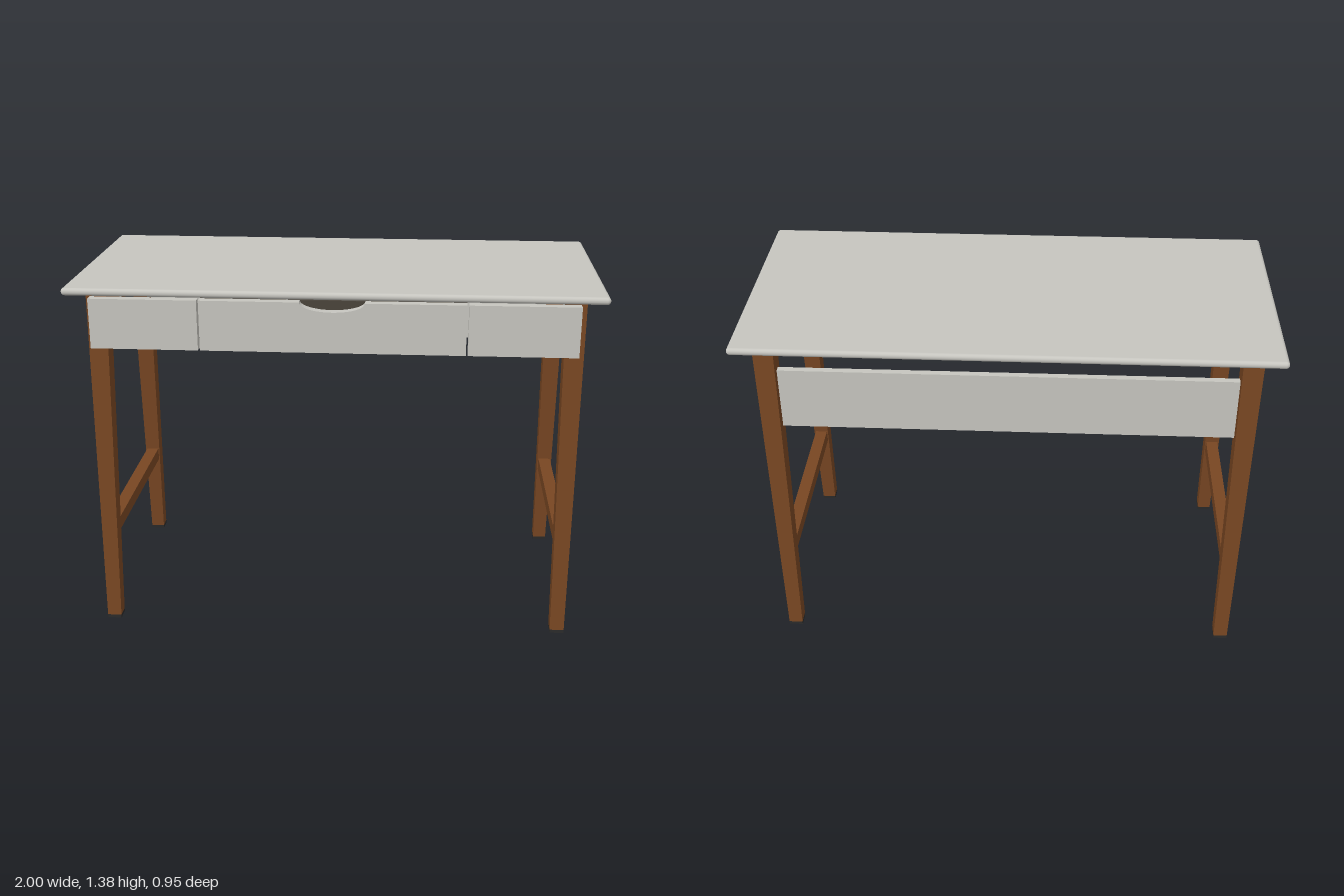
import * as THREE from 'three';
import { RoundedBoxGeometry } from 'three/addons/geometries/RoundedBoxGeometry.js';

const mat = (name, color) => {
  const m = new THREE.MeshStandardMaterial({ color });
  m.name = name;
  return m;
};

export function createModel() {
  const paint = mat('warm grey paint', 0xc6c5bf);
  const wood = mat('walnut wood', 0x784622);
  const liner = mat('dark drawer liner', 0x4a443b);
  const rubber = mat('black foot pad', 0x2a2a2a);

  const desk = new THREE.Group();
  desk.name = 'desk';

  const add = (name, geometry, material, x = 0, y = 0, z = 0) => {
    const mesh = new THREE.Mesh(geometry, material);
    mesh.name = name;
    mesh.position.set(x, y, z);
    desk.add(mesh);
    return mesh;
  };

  // Tabletop with rounded edges
  add('tabletop', new RoundedBoxGeometry(2, 0.028, 0.95, 4, 0.0135), paint, 0, 1.367, 0);

  // Leg centre and half widths at height y: splayed in z, tapering downward
  const LEG_TOP = 1.353;
  const section = (y) => {
    const t = y / LEG_TOP;
    const mix = (a, b) => THREE.MathUtils.lerp(a, b, t);
    return { x: mix(0.8925, 0.889), z: mix(0.4225, 0.357), hx: mix(0.0275, 0.0385), hz: mix(0.0275, 0.039) };
  };
  const legPiece = (y0, y1, sx, sz) => {
    const g = new THREE.BoxGeometry(2, 2, 2);
    const p = g.attributes.position;
    for (let i = 0; i < p.count; i++) {
      const y = p.getY(i) < 0 ? y0 : y1;
      const s = section(y);
      p.setXYZ(i, sx * s.x + p.getX(i) * s.hx, y, sz * s.z + p.getZ(i) * s.hz);
    }
    g.computeVertexNormals();
    return g;
  };

  // Rail between front and back legs, its ends cut to follow the leg slope
  const rail = (y0, y1, width, x) => {
    const g = new THREE.BoxGeometry(width, 2, 2);
    const p = g.attributes.position;
    for (let i = 0; i < p.count; i++) {
      const y = p.getY(i) < 0 ? y0 : y1;
      const s = section(y);
      p.setXYZ(i, x + p.getX(i), y, p.getZ(i) * (s.z - s.hz + 0.002));
    }
    g.computeVertexNormals();
    return g;
  };

  for (const sx of [-1, 1]) {
    const side = sx > 0 ? 'left' : 'right';
    for (const sz of [-1, 1]) {
      const end = sz > 0 ? 'Front' : 'Back';
      add(`${side}${end}Leg`, legPiece(0.013, LEG_TOP, sx, sz), wood);
      add(`${side}${end}FootPad`, legPiece(0, 0.013, sx, sz), rubber);
    }
    add(`${side}TopRail`, rail(1.24, LEG_TOP, 0.05, sx * 0.89), wood);
    add(`${side}Stretcher`, rail(0.36, 0.412, 0.05, sx * 0.89), wood);

    // Fixed front panel beside the drawer
    add(`${side}FrontPanel`, new THREE.BoxGeometry(0.403, 0.19, 0.036), paint, sx * 0.6985, 1.25, 0.458);
  }

  // Drawer front with a scooped finger pull in its top edge
  const front = new THREE.Shape();
  front.moveTo(-0.49, 1.155);
  front.lineTo(0.49, 1.155);
  front.lineTo(0.49, 1.345);
  front.lineTo(0.12, 1.345);
  front.absellipse(0, 1.345, 0.12, 0.036, 0, Math.PI, true);
  front.lineTo(-0.49, 1.345);
  front.closePath();
  add('drawerFront', new THREE.ExtrudeGeometry(front, { depth: 0.036, bevelEnabled: false, curveSegments: 20 }),
    paint, 0, 0, 0.44);

  // Drawer box behind the front
  add('drawerBox', new THREE.BoxGeometry(0.98, 0.188, 0.16), liner, 0, 1.25, 0.36);

  // Modesty panel between the back legs
  add('modestyPanel', new THREE.BoxGeometry(1.72, 0.25, 0.025), paint, 0, 1.105, -0.36);

  return desk;
}
